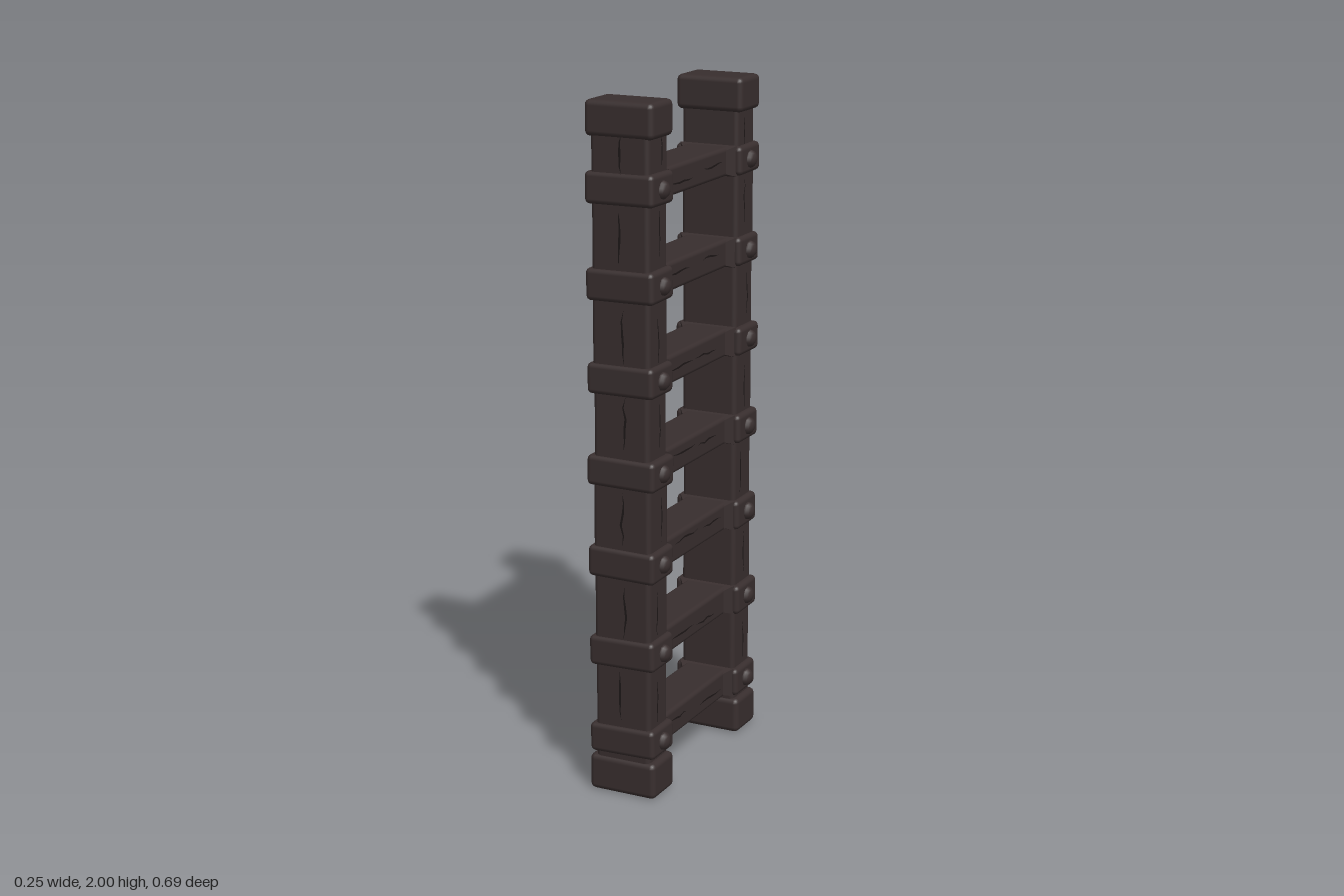
import * as THREE from 'three';
import { RoundedBoxGeometry } from 'three/addons/geometries/RoundedBoxGeometry.js';

export function createModel() {
  const model = new THREE.Group();
  const wood = new THREE.MeshStandardMaterial({ color: 0x382e2e });
  wood.name = 'dark wood';
  const grain = new THREE.MeshStandardMaterial({ color: 0x1d1717 });
  grain.name = 'crack shadow';

  // small seeded generator for hand-hewn variation, -1..1
  let seed = 11;
  const vary = () => {
    seed = (seed * 16807) % 2147483647;
    return (seed / 2147483647) * 2 - 1;
  };

  const add = (parent, name, geometry, material, x, y, z) => {
    const mesh = new THREE.Mesh(geometry, material);
    mesh.name = name;
    mesh.position.set(x, y, z);
    parent.add(mesh);
    return mesh;
  };
  const block = (parent, name, w, h, d, r, x, y, z) =>
    add(parent, name, new RoundedBoxGeometry(w, h, d, 2, r), wood, x, y, z);

  // crooked sliver, pointed at both ends, lying in the xy plane
  const crackGeometry = (length, width) => {
    const n = 5, left = [], right = [];
    for (let i = 0; i <= n; i++) {
      const t = i / n, half = Math.sin(Math.PI * t) * width / 2;
      const bend = vary() * width * 0.7, y = (t - 0.5) * length;
      left.push(new THREE.Vector2(bend - half, y));
      right.unshift(new THREE.Vector2(bend + half, y));
    }
    return new THREE.ShapeGeometry(new THREE.Shape([...left, ...right]));
  };

  const rungHeights = Array.from({ length: 7 }, (_, i) => 0.163 + i * 0.2663);
  const bandHalf = 0.044, postZ = 0.277;

  for (const side of [1, -1]) {
    const post = new THREE.Group();
    post.name = side > 0 ? 'frontPost' : 'backPost';
    post.position.z = side * postZ;
    model.add(post);

    // end blocks
    block(post, 'footBlock', 0.21, 0.108, 0.13, 0.016, 0, 0.054, 0);
    block(post, 'topBlock', 0.21, 0.1, 0.13, 0.016, 0, 1.95, 0);

    // shaft lengths between the bands
    const stops = [0.05, ...rungHeights, 1.95];
    for (let i = 0; i < stops.length - 1; i++) {
      const length = stops[i + 1] - stops[i], y = (stops[i] + stops[i + 1]) / 2;
      const w = 0.176 + vary() * 0.004, d = 0.115 + vary() * 0.002;
      block(post, 'shaft', w, length + 0.03, d, 0.014, 0, y, 0);
      if (i === 0) continue;
      // cracks on the outer face and both flanks
      const outer = add(post, 'shaftCrack', crackGeometry(length * 0.6, 0.007), grain,
        vary() * 0.012, y + vary() * 0.02, side * (d / 2 + 0.001));
      if (side < 0) outer.rotation.y = Math.PI;
      for (const sx of [1, -1]) {
        const flank = add(post, 'shaftCrack', crackGeometry(length * 0.55, 0.006), grain,
          sx * (w / 2 + 0.001), y + vary() * 0.02, vary() * 0.02);
        flank.rotation.y = sx * Math.PI / 2;
      }
    }

    // bands with a domed bolt on each flank
    for (const y of rungHeights) {
      const band = block(post, 'band', 0.209 + vary() * 0.004, bandHalf * 2 + vary() * 0.004,
        0.132, 0.014, 0, y, 0);
      band.rotation.x = vary() * 0.02;
      band.rotation.z = vary() * 0.02;
      for (const sx of [1, -1]) {
        const dome = new THREE.SphereGeometry(0.027, 10, 5, 0, Math.PI * 2, 0, Math.PI / 2);
        dome.scale(1, 0.8, 1).rotateZ(-sx * Math.PI / 2);
        add(post, 'bolt', dome, wood, sx * 0.102, y, vary() * 0.004);
      }
    }
  }

  rungHeights.forEach((y) => {
    const rung = new THREE.Group();
    rung.name = 'rung';
    rung.position.y = y;
    model.add(rung);
    block(rung, 'rungBeam', 0.138, 0.084, 0.48, 0.012, 0, 0, 0);

    // flared joints where the beam meets the bands
    for (const side of [1, -1]) {
      const flare = new THREE.CylinderGeometry(0.067 * Math.SQRT2, 0.09 * Math.SQRT2, 0.03, 4)
        .rotateY(Math.PI / 4).scale(1, 1, 0.5).rotateX(-side * Math.PI / 2).toNonIndexed();
      flare.computeVertexNormals();
      add(rung, 'rungFlare', flare, wood, 0, 0, side * 0.2);
    }

    // lengthwise cracks on both faces
    for (const sx of [1, -1]) {
      for (const z of [0.09, -0.08]) {
        const geometry = crackGeometry(0.13 + vary() * 0.03, 0.006).rotateZ(Math.PI / 2);
        const crack = add(rung, 'rungCrack', geometry, grain,
          sx * 0.07, vary() * 0.02, z + vary() * 0.03);
        crack.rotation.y = sx * Math.PI / 2;
      }
    }
  });

  return model;
}
